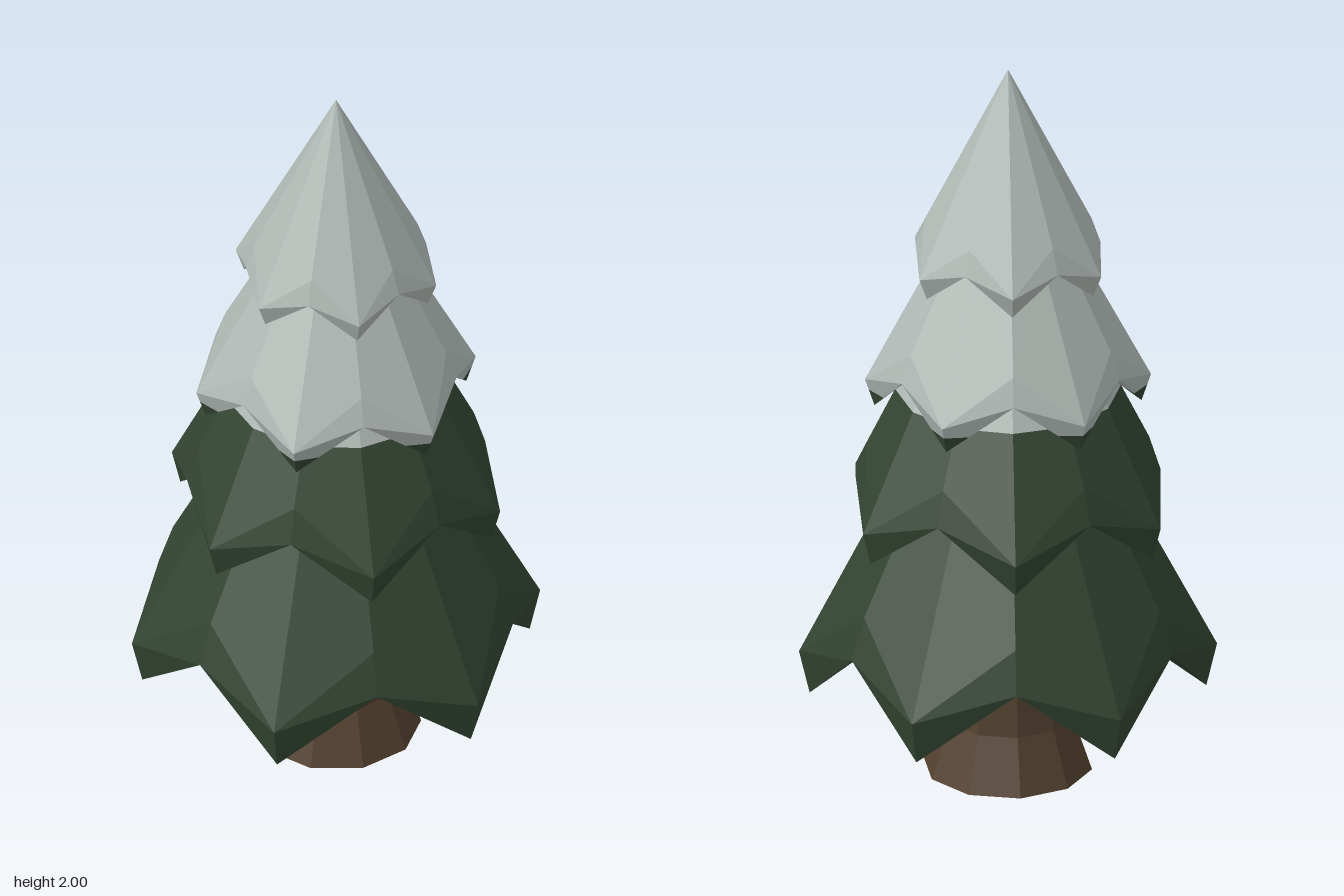
import * as THREE from 'three';

const SNOW_LINE = 1.085;

// Keep the part of a convex polygon above (sign 1) or below (sign -1) the snow line
function clip(poly, sign) {
  const out = [];
  poly.forEach((p, i) => {
    const q = poly[(i + 1) % poly.length];
    const dp = (p.y - SNOW_LINE) * sign, dq = (q.y - SNOW_LINE) * sign;
    if (dp >= 0) out.push(p);
    if (dp * dq < 0) out.push(p.clone().lerp(q, dp / (dp - dq)));
  });
  return out;
}

// Flat mesh from convex polygons
function polyMesh(polys, material, name) {
  const pos = [];
  for (const p of polys)
    for (let i = 1; i < p.length - 1; i++)
      for (const v of [p[0], p[i], p[i + 1]]) pos.push(v.x, v.y, v.z);
  const geo = new THREE.BufferGeometry();
  geo.setAttribute('position', new THREE.Float32BufferAttribute(pos, 3));
  geo.computeVertexNormals();
  const mesh = new THREE.Mesh(geo, material);
  mesh.name = name;
  return mesh;
}

// Twelve-sided ring alternating between tip and valley [radius, height]
function ring(tip, valley, turn) {
  return Array.from({ length: 12 }, (_, i) => {
    const [r, y] = i % 2 ? valley : tip;
    const a = turn + (i * Math.PI) / 6;
    return new THREE.Vector3(r * Math.cos(a), y, r * Math.sin(a));
  });
}

// Triangles joining successive rings, listed from the top down
function skin(rings) {
  const tris = [];
  for (let k = 0; k < rings.length - 1; k++) {
    const a = rings[k], b = rings[k + 1];
    for (let i = 0; i < 12; i++) {
      const j = (i + 1) % 12;
      // Diagonals mirror about each tip
      if (i % 2) tris.push([a[i], a[j], b[i]], [a[j], b[j], b[i]]);
      else tris.push([a[i], a[j], b[j]], [a[i], b[j], b[i]]);
    }
  }
  return tris;
}

export function createModel() {
  const tree = new THREE.Group();
  tree.name = 'snowyPineTree';
  const needles = new THREE.MeshStandardMaterial({ color: 0x334432, side: THREE.DoubleSide, flatShading: true });
  needles.name = 'darkGreenNeedles';
  const snow = new THREE.MeshStandardMaterial({ color: 0xb0b9b5, side: THREE.DoubleSide, flatShading: true });
  snow.name = 'greySnow';
  const bark = new THREE.MeshStandardMaterial({ color: 0x544230, flatShading: true });
  bark.name = 'brownBark';

  // Trunk with flared foot
  const profile = [[0, 0], [0.223, 0], [0.17, 0.15], [0.15, 0.37], [0.14, 0.7]];
  const trunk = new THREE.Mesh(
    new THREE.LatheGeometry(profile.map(([r, y]) => new THREE.Vector2(r, y)), 10), bark);
  trunk.name = 'trunk';
  tree.add(trunk);

  // Branch tiers: top, skirt upper edge, zigzag lower edge, hollow underside
  const tiers = [
    { name: 'bottomTier', top: [0.205, 1.0], tip: [0.548, 0.335], valley: [0.447, 0.53],
      lowTip: [0.52, 0.215], lowValley: [0.485, 0.415], inner: [0.14, 0.55], turn: Math.PI / 2 },
    { name: 'lowerMiddleTier', top: [0.19, 1.3], tip: [0.45, 0.77], valley: [0.37, 0.935],
      lowTip: [0.427, 0.68], lowValley: [0.4, 0.84], inner: [0.2, 0.95], turn: 0 },
    { name: 'upperMiddleTier', top: [0.12, 1.6], tip: [0.375, 1.115], valley: [0.303, 1.25],
      lowTip: [0.35, 1.04], lowValley: [0.33, 1.175], inner: [0.15, 1.25], turn: Math.PI / 2 },
    { name: 'topTier', top: [0, 2], tip: [0.275, 1.46], valley: [0.219, 1.567],
      lowTip: [0.252, 1.4], lowValley: [0.242, 1.5], inner: [0.1, 1.56], turn: 0 },
  ];
  for (const t of tiers) {
    const tier = new THREE.Group();
    tier.name = t.name;
    const tris = skin([
      ring(t.top, t.top, t.turn),
      ring(t.tip, t.valley, t.turn),
      ring(t.lowTip, t.lowValley, t.turn),
      ring(t.inner, t.inner, t.turn),
    ]);
    // Snow covers everything above the snow line
    for (const [sign, material, label] of [[1, snow, 'Snow'], [-1, needles, 'Needles']]) {
      const polys = tris.map((tri) => clip(tri, sign)).filter((p) => p.length > 2);
      if (polys.length) tier.add(polyMesh(polys, material, t.name + label));
    }
    tree.add(tier);
  }
  return tree;
}
